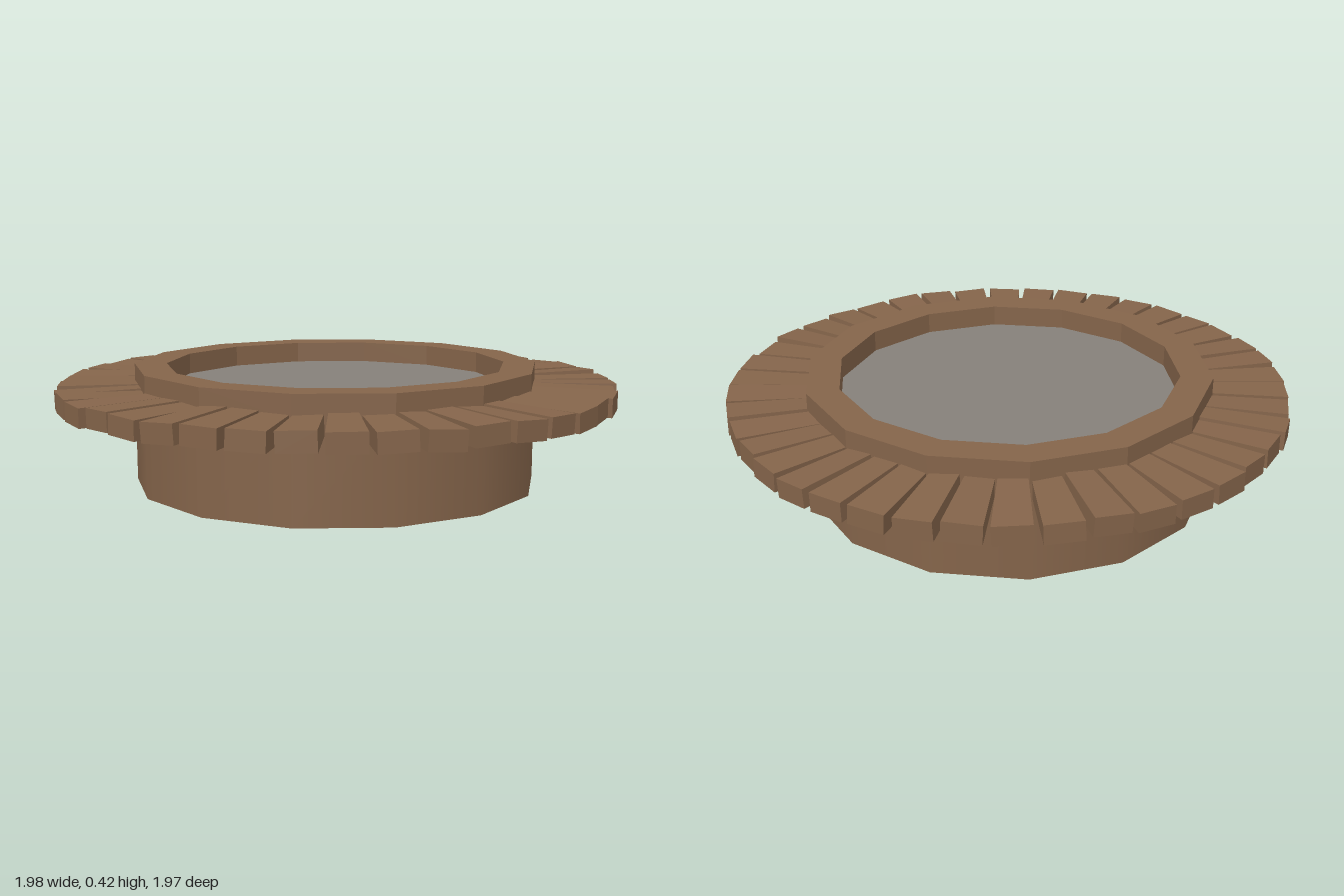
import * as THREE from 'three';

const SIDES = 14, TILES = 42, APOTHEM_TURN = Math.PI / 2;

// small seeded jitter in the range -1..1
function makeJitter(seed) {
  return () => {
    seed = (seed * 16807) % 2147483647;
    return (seed / 2147483647) * 2 - 1;
  };
}

function polygon(Type, radius) {
  const path = new Type();
  for (let i = 0; i < SIDES; i++) {
    const a = (i / SIDES) * Math.PI * 2;
    path[i ? 'lineTo' : 'moveTo'](Math.cos(a) * radius, Math.sin(a) * radius);
  }
  path.closePath();
  return path;
}

export function createModel() {
  const model = new THREE.Group();
  const brown = new THREE.MeshStandardMaterial({ color: 0x84644a });
  brown.name = 'brown clay';
  const grey = new THREE.MeshStandardMaterial({ color: 0x85807a });
  grey.name = 'warm grey';

  // drum: smooth wall with grey floor above and grey base below
  const drum = new THREE.Mesh(
    new THREE.CylinderGeometry(0.717, 0.717, 0.345, SIDES, 1, false, APOTHEM_TURN),
    [brown, grey, grey]
  );
  drum.name = 'basin';
  drum.position.y = 0.1725;
  model.add(drum);

  // raised faceted rim around the floor
  const ring = polygon(THREE.Shape, 0.717);
  ring.holes.push(polygon(THREE.Path, 0.603));
  const rim = new THREE.Mesh(
    new THREE.ExtrudeGeometry(ring, { depth: 0.08, bevelEnabled: false }), brown
  );
  rim.name = 'rim';
  rim.rotation.x = -Math.PI / 2;
  rim.position.y = 0.34;
  model.add(rim);

  // collar of wedge-shaped tiles, each slightly out of true
  const jitter = makeJitter(4711);
  const inner = 0.68;
  const collar = new THREE.Group();
  collar.name = 'tileCollar';
  for (let i = 0; i < TILES; i++) {
    const length = 0.302 + jitter() * 0.008;
    const geometry = new THREE.BoxGeometry(1, 0.066, length);
    const pos = geometry.attributes.position;
    for (let v = 0; v < pos.count; v++) {
      const width = pos.getZ(v) > 0 ? 0.124 : 0.092;
      pos.setX(v, pos.getX(v) * width);
    }
    geometry.computeVertexNormals();
    const tile = new THREE.Mesh(geometry, brown);
    tile.name = 'tile' + (i + 1);
    tile.position.z = inner + length / 2;
    tile.rotation.set(jitter() * 0.03, jitter() * 0.03, jitter() * 0.07);
    const spoke = new THREE.Group();
    spoke.name = 'tileSpoke' + (i + 1);
    spoke.position.y = 0.325 + jitter() * 0.003;
    spoke.rotation.y = (i / TILES) * Math.PI * 2;
    spoke.add(tile);
    collar.add(spoke);
  }
  model.add(collar);
  return model;
}
